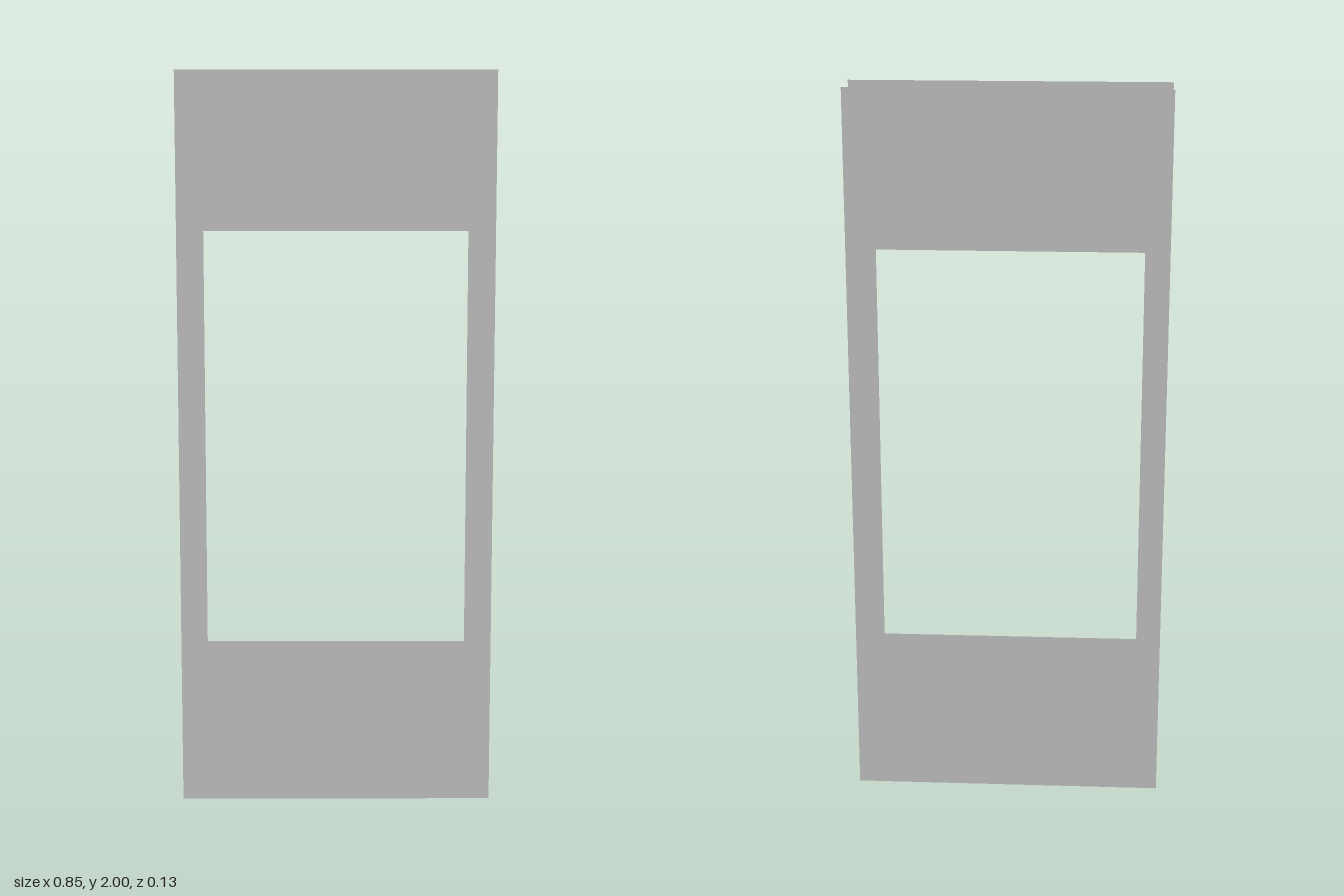
import * as THREE from 'three';

// Rectangle outline, usable as a shape or as a hole
function rectangle(path, halfWidth, bottom, top) {
  path.moveTo(-halfWidth, bottom);
  path.lineTo(halfWidth, bottom);
  path.lineTo(halfWidth, top);
  path.lineTo(-halfWidth, top);
  path.closePath();
  return path;
}

export function createModel() {
  const group = new THREE.Group();
  group.name = 'windowPanels';
  const material = new THREE.MeshStandardMaterial({ color: 0xcccccc, side: THREE.DoubleSide });

  // Paper-thin panel with a rectangular window opening
  function addPanel(name, z, bottom) {
    const shape = rectangle(new THREE.Shape(), 0.426, bottom, 2);
    shape.holes.push(rectangle(new THREE.Path(), 0.362, 0.417, 1.578));
    const geometry = new THREE.ShapeGeometry(shape);
    if (z < 0) {
      geometry.rotateY(Math.PI); // back panel faces outwards
    }
    const panel = new THREE.Mesh(geometry, material);
    panel.name = name;
    panel.position.z = z;
    group.add(panel);
  }

  addPanel('frontPanel', 0.067, 0);
  addPanel('backPanel', -0.067, 0.012); // sits slightly clear of the ground

  return group;
}
